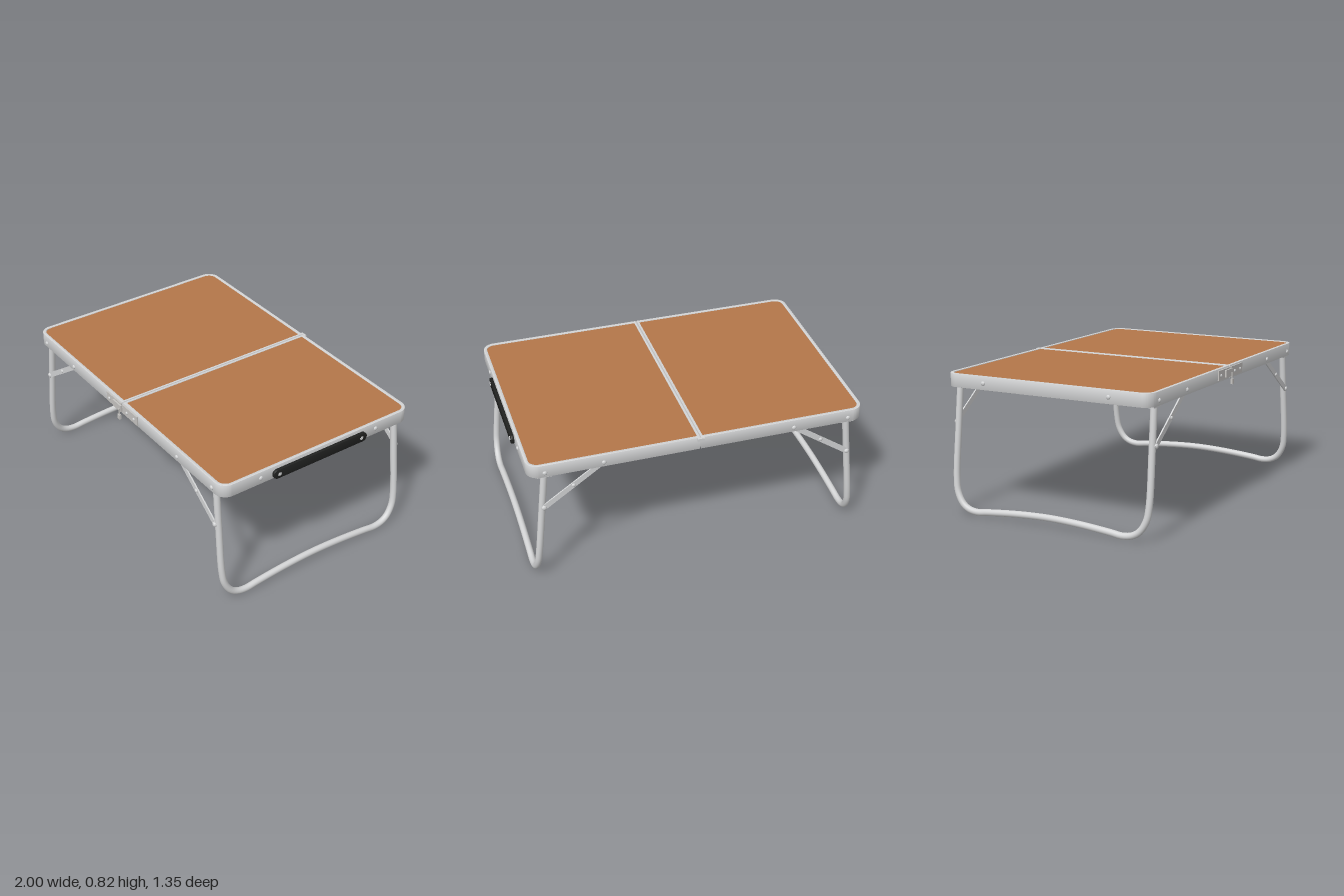
import * as THREE from 'three';
import { toCreasedNormals } from 'three/addons/utils/BufferGeometryUtils.js';

const mat = (name, color) => new THREE.MeshStandardMaterial({ name, color });

export function createModel() {
  const silver = mat('silver metal', 0xd3d4d5);
  const steel = mat('latch steel', 0xc6c4c1);
  const wood = mat('wood brown', 0xb4774a);
  const under = mat('underside grey', 0xb0b0b0);
  const black = mat('black plastic', 0x212221);
  const root = new THREE.Group();
  root.name = 'foldingTable';

  function add(parent, name, geo, material, x = 0, y = 0, z = 0) {
    const m = new THREE.Mesh(geo, material);
    m.name = name;
    m.position.set(x, y, z);
    parent.add(m);
    return m;
  }
  const box = (parent, name, w, h, d, x, y, z, material = silver) =>
    add(parent, name, new THREE.BoxGeometry(w, h, d), material, x, y, z);

  // Domed rivet facing along (nx, nz)
  function rivet(parent, x, y, z, nx, nz, r = 0.013) {
    const g = new THREE.SphereGeometry(r, 14, 7, 0, Math.PI * 2, 0, Math.PI / 2);
    g.scale(1, 0.65, 1);
    const m = add(parent, 'rivet', g, silver, x, y, z);
    m.quaternion.setFromUnitVectors(new THREE.Vector3(0, 1, 0), new THREE.Vector3(nx, 0, nz));
  }

  // Half table outline: square at the seam, rounded at the outer end
  function outline(target, x0, x1, d, r) {
    target.moveTo(x0, -d);
    target.lineTo(x1 - r, -d);
    target.absarc(x1 - r, -d + r, r, -Math.PI / 2, 0, false);
    target.lineTo(x1, d - r);
    target.absarc(x1 - r, d - r, r, 0, Math.PI / 2, false);
    target.lineTo(x0, d);
    target.closePath();
    return target;
  }
  function slab(shape, y0, y1, bevel = 0) {
    const g = new THREE.ExtrudeGeometry(shape, {
      depth: y1 - y0 - 2 * bevel, curveSegments: 10, bevelEnabled: bevel > 0,
      bevelThickness: bevel, bevelSize: bevel, bevelOffset: -bevel, bevelSegments: 2,
    });
    g.rotateX(-Math.PI / 2);
    g.translate(0, y0 + bevel, 0);
    return toCreasedNormals(g, 0.6);
  }

  // One half with its leg; the other is the same turned half a circle
  function makeHalf(name) {
    const half = new THREE.Group();
    half.name = name;
    const D = 0.654;

    const rim = outline(new THREE.Shape(), 0.003, 0.984, D, 0.07);
    rim.holes.push(outline(new THREE.Path(), 0.016, 0.964, D - 0.02, 0.05));
    add(half, 'frame', slab(rim, 0.742, 0.82, 0.002), silver);
    // Wooden top and an underside recessed within the frame
    const panel = () => outline(new THREE.Shape(), 0.012, 0.968, D - 0.016, 0.054);
    add(half, 'tableTop', slab(panel(), 0.785, 0.816), wood);
    add(half, 'underside', slab(panel(), 0.778, 0.785), under);

    // Bent tube leg, leaning outward toward the floor
    const side = [[0.622, 0.776], [0.625, 0.5], [0.625, 0.2], [0.612, 0.12], [0.575, 0.058],
      [0.53, 0.03], [0.47, 0.021], [0.4, 0.029], [0.2, 0.046]];
    const path = [...side, [0, 0.053], ...side.map(([z, y]) => [-z, y]).reverse()];
    const leanX = (y) => 0.963 - (y - 0.02) * 0.104;
    const curve = new THREE.CatmullRomCurve3(path.map(([z, y]) => new THREE.Vector3(leanX(y), y, z)));
    add(half, 'leg', new THREE.TubeGeometry(curve, 140, 0.0195, 14), silver);

    for (const s of [1, -1]) {
      box(half, 'legBracket', 0.085, 0.012, 0.036, 0.888, 0.738, s * 0.625);
      // Flat folding brace from the frame to the leg
      const a = new THREE.Vector2(0.56, 0.765), b = new THREE.Vector2(0.903, 0.525);
      const brace = new THREE.Shape();
      const len = a.distanceTo(b), w = 0.016;
      brace.absarc(len / 2, 0, w, -Math.PI / 2, Math.PI / 2, false);
      brace.absarc(-len / 2, 0, w, Math.PI / 2, Math.PI * 1.5, false);
      const bg = new THREE.ExtrudeGeometry(brace, { depth: 0.008, bevelEnabled: false });
      bg.translate(0, 0, -0.004);
      const bar = add(half, 'brace', toCreasedNormals(bg, 0.6), silver,
        (a.x + b.x) / 2, (a.y + b.y) / 2, s * 0.642);
      bar.rotation.z = Math.atan2(b.y - a.y, b.x - a.x);

      rivet(half, 0.731, 0.645, s * 0.646, 0, s, 0.012);
      rivet(half, 0.903, 0.525, s * 0.646, 0, s, 0.015);
      rivet(half, 0.557, 0.77, s * D, 0, s);
      rivet(half, 0.888, 0.77, s * D, 0, s);
      rivet(half, 0.984, 0.78, s * 0.4, 1, 0);
    }
    half.position.set(-0.011, 0, -0.006);
    root.add(half);
    return half;
  }
  makeHalf('leftHalf');
  makeHalf('rightHalf').rotation.y = Math.PI;

  // Carrying handle with two star screws
  const handle = new THREE.Group();
  handle.name = 'handle';
  handle.position.set(0.973, 0.773, -0.003);
  handle.rotation.y = Math.PI / 2;
  root.add(handle);
  const grip = new THREE.Shape();
  grip.absarc(0.296, 0, 0.028, -Math.PI / 2, Math.PI / 2, false);
  grip.absarc(-0.296, 0, 0.028, Math.PI / 2, Math.PI * 1.5, false);
  add(handle, 'grip', toCreasedNormals(new THREE.ExtrudeGeometry(grip, {
    depth: 0.014, bevelThickness: 0.002, bevelSize: 0.002, bevelOffset: -0.002, bevelSegments: 2,
  }), 0.6), black, 0, 0, 0.004);
  const star = new THREE.Shape();
  for (let i = 0; i < 16; i++) {
    const r = i % 2 ? 0.007 : 0.012, t = i * Math.PI / 8;
    star[i ? 'lineTo' : 'moveTo'](r * Math.cos(t), r * Math.sin(t));
  }
  for (const x of [-0.286, 0.286])
    add(handle, 'handleScrew', new THREE.ExtrudeGeometry(star, { depth: 0.005, bevelEnabled: false }),
      silver, x, 0, 0.019);

  // Front latch: two plates, a raised catch and a hanging pin
  const latch = new THREE.Group();
  latch.name = 'latch';
  root.add(latch);
  box(latch, 'latchPlate', 0.156, 0.058, 0.01, -0.095, 0.782, 0.651, steel);
  box(latch, 'latchPlate', 0.156, 0.058, 0.01, 0.075, 0.782, 0.651, steel);
  box(latch, 'latchCatch', 0.086, 0.042, 0.01, -0.05, 0.782, 0.661, steel);
  for (const x of [-0.145, 0.045, 0.12]) rivet(latch, x, 0.78, 0.656, 0, 1, 0.01);
  add(latch, 'latchHook', new THREE.CylinderGeometry(0.004, 0.004, 0.05, 8), steel, -0.018, 0.757, 0.668);
  box(latch, 'latchPin', 0.022, 0.03, 0.013, -0.018, 0.727, 0.669, steel);

  // Back hinge across the seam
  box(root, 'hinge', 0.04, 0.02, 0.014, -0.011, 0.809, -0.666);
  return root;
}
